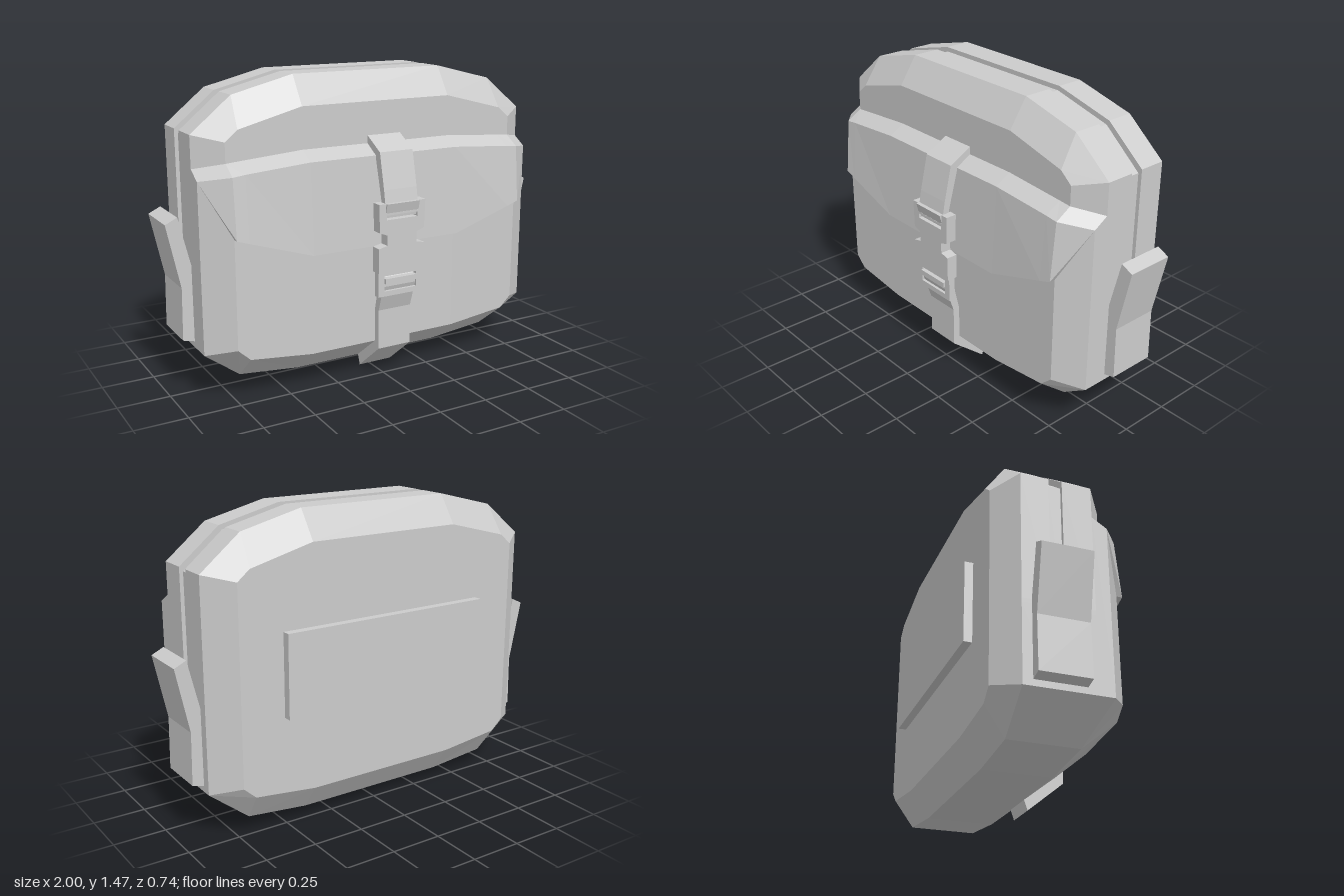
import * as THREE from 'three';

const grey = new THREE.MeshStandardMaterial({ color: 0xcccccc, flatShading: true, side: THREE.DoubleSide });

// Non-indexed geometry from a list of quads, each quad four [x, y, z] corners
function fromQuads(quads, caps = []) {
  const pos = [];
  const tri = (a, b, c) => pos.push(...a, ...b, ...c);
  for (const [a, b, c, d] of quads) { tri(a, b, c); tri(a, c, d); }
  for (const ring of caps) for (let i = 1; i < ring.length - 1; i++) tri(ring[0], ring[i], ring[i + 1]);
  const g = new THREE.BufferGeometry();
  g.setAttribute('position', new THREE.Float32BufferAttribute(pos, 3));
  g.computeVertexNormals();
  return g;
}

// Full outline, counter-clockwise, from its right half listed bottom to top
const mirrorOutline = half => [...half, ...half.map(([x, y]) => [-x, y]).reverse()];

const shapeOf = pts => new THREE.Shape(pts.map(p => new THREE.Vector2(...p)));

// Extrude an [x, y] profile along z, from z0 to z1
function extrudeZ(pts, z0, z1, holes = []) {
  const s = shapeOf(pts);
  for (const [x0, y0, x1, y1] of holes) s.holes.push(shapeOf([[x0, y0], [x0, y1], [x1, y1], [x1, y0]]));
  return new THREE.ExtrudeGeometry(s, { depth: z1 - z0, bevelEnabled: false }).translate(0, 0, z0);
}

// Extrude a [z, y] profile along x, from x0 to x1
const extrudeX = (pts, x0, x1) => extrudeZ(pts, -x1, -x0).rotateY(-Math.PI / 2);

function bodyGeometry() {
  const outer = mirrorOutline([[0.39, 0.05], [0.69, 0.08], [0.885, 0.237], [0.885, 0.6], [0.885, 0.62], [0.885, 1.23], [0.69, 1.39], [0.39, 1.465]]);
  const inner = mirrorOutline([[0.39, 0.18], [0.7, 0.215], [0.76, 0.27], [0.76, 0.6], [0.76, 0.62], [0.76, 1.2], [0.7, 1.25], [0.39, 1.33]]);
  // Seam channel is sunk only above the side pockets' middle
  const sunk = outer.map(([x, y]) => (y < 0.61 ? [x, y] : [x * 0.98, y > 1 ? y - 0.022 : y]));
  const rings = [[inner, -0.33], [outer, -0.235], [outer, -0.105], [sunk, -0.105], [sunk, -0.042], [outer, -0.042], [outer, 0.095], [inner, 0.185]]
    .map(([o, z]) => o.map(([x, y]) => [x, y, z]));
  const quads = [];
  for (let r = 0; r < rings.length - 1; r++) {
    const n = outer.length;
    for (let i = 0; i < n; i++) {
      const j = (i + 1) % n;
      quads.push([rings[r][i], rings[r][j], rings[r + 1][j], rings[r + 1][i]]);
    }
  }
  return fromQuads(quads, [[...rings[0]].reverse(), rings[rings.length - 1]]);
}

// Skin from rows of points (outer side to middle), mirrored across x
function skin(halfRows) {
  const rows = halfRows.map(h => [...h.map(([x, y, z]) => [-x, y, z]), ...[...h].reverse()]);
  const quads = [];
  for (let r = 0; r < rows.length - 1; r++)
    for (let c = 0; c < rows[r].length - 1; c++)
      quads.push([rows[r][c], rows[r + 1][c], rows[r + 1][c + 1], rows[r][c + 1]]);
  return fromQuads(quads);
}

export function createModel() {
  const group = new THREE.Group();
  group.name = 'pouchBag';
  const add = (name, geometry) => {
    const m = new THREE.Mesh(geometry, grey);
    m.name = name;
    group.add(m);
  };

  // Main compartment with seam channel
  add('body', bodyGeometry());

  // Flap: top cover, front drape and its thin lower edge
  const backTop = [0.885, 1.08, 0.095], corner = [0.885, 1.037, 0.165];
  const flapEdge = z => [backTop, corner, [0.76, 0.785, z], [0.7, 0.765, z], [0.39, 0.665, z]];
  add('flap', skin([
    [backTop, backTop, [0.76, 1.107, 0.185], [0.7, 1.112, 0.185], [0.39, 1.135, 0.185]],
    [backTop, corner, [0.76, 1.06, 0.262], [0.7, 1.067, 0.262], [0.39, 1.09, 0.262]],
    flapEdge(0.288),
    flapEdge(0.26),
  ]));

  // Front pocket below the flap
  const low = [0.885, 0.237, 0.095], lowFront = [0.885, 0.237, 0.165];
  add('frontPocket', skin([
    flapEdge(0.26),
    [low, lowFront, [0.76, 0.27, 0.26], [0.7, 0.215, 0.26], [0.39, 0.18, 0.26]],
    [low, lowFront, lowFront, [0.69, 0.08, 0.095], [0.39, 0.05, 0.095]],
    [low, low, low, [0.69, 0.08, 0.095], [0.39, 0.05, 0.095]],
  ]));

  // Closing strap, slightly off the middle
  const mid = 0.034, x0 = mid - 0.088, x1 = mid + 0.088;
  add('upperStrap', extrudeX([[0.18, 1.12], [0.26, 1.085], [0.3, 0.94], [0.318, 0.87], [0.318, 0.81], [0.345, 0.81], [0.35, 0.87], [0.337, 0.94], [0.298, 1.11], [0.18, 1.175]], x0, x1));
  add('lowerStrap', extrudeX([[0.095, 0.05], [0.112, 0], [0.295, 0.15], [0.295, 0.345], [0.338, 0.475], [0.338, 0.5], [0.305, 0.535], [0.262, 0.35], [0.258, 0.178]], x0, x1));

  // Buckle: waisted socket with a strap slot, and a slotted ladder end
  const mirrored = half => mirrorOutline(half).map(([x, y]) => [x + mid, y]);
  add('buckleSocket', extrudeZ(
    mirrored([[0.125, 0.55], [0.125, 0.67], [0.08, 0.68], [0.08, 0.73], [0.12, 0.745], [0.125, 0.88], [0.085, 0.88], [0.085, 0.835]]),
    0.303, 0.357, [[x0 + 0.005, 0.803, x1 - 0.005, 0.825]]));
  add('buckleTopBar', extrudeX([[0.31, 0.83], [0.355, 0.83], [0.368, 0.88], [0.322, 0.88]], x0, x1));
  add('buckleLadder', extrudeZ(
    mirrored([[0.12, 0.43], [0.12, 0.55]]), 0.312, 0.345, [[x0, 0.455, x1, 0.53]]));
  add('buckleLadderBar', new THREE.BoxGeometry(0.17, 0.025, 0.03).translate(mid, 0.505, 0.338));

  // Bent pockets on both sides
  const sideProfile = [[0.88, 0.265], [0.94, 0.28], [0.935, 0.53], [0.998, 0.832], [0.94, 0.86], [0.885, 0.63]];
  for (const s of [1, -1]) {
    const pts = sideProfile.map(([x, y]) => [x * s, y]);
    add(s > 0 ? 'leftSidePocket' : 'rightSidePocket', extrudeZ(pts, -0.19, 0.045));
  }

  // Raised panel on the back
  add('backPanel', new THREE.BoxGeometry(1.09, 0.395, 0.05).translate(0, 0.757, -0.345));

  return group;
}
